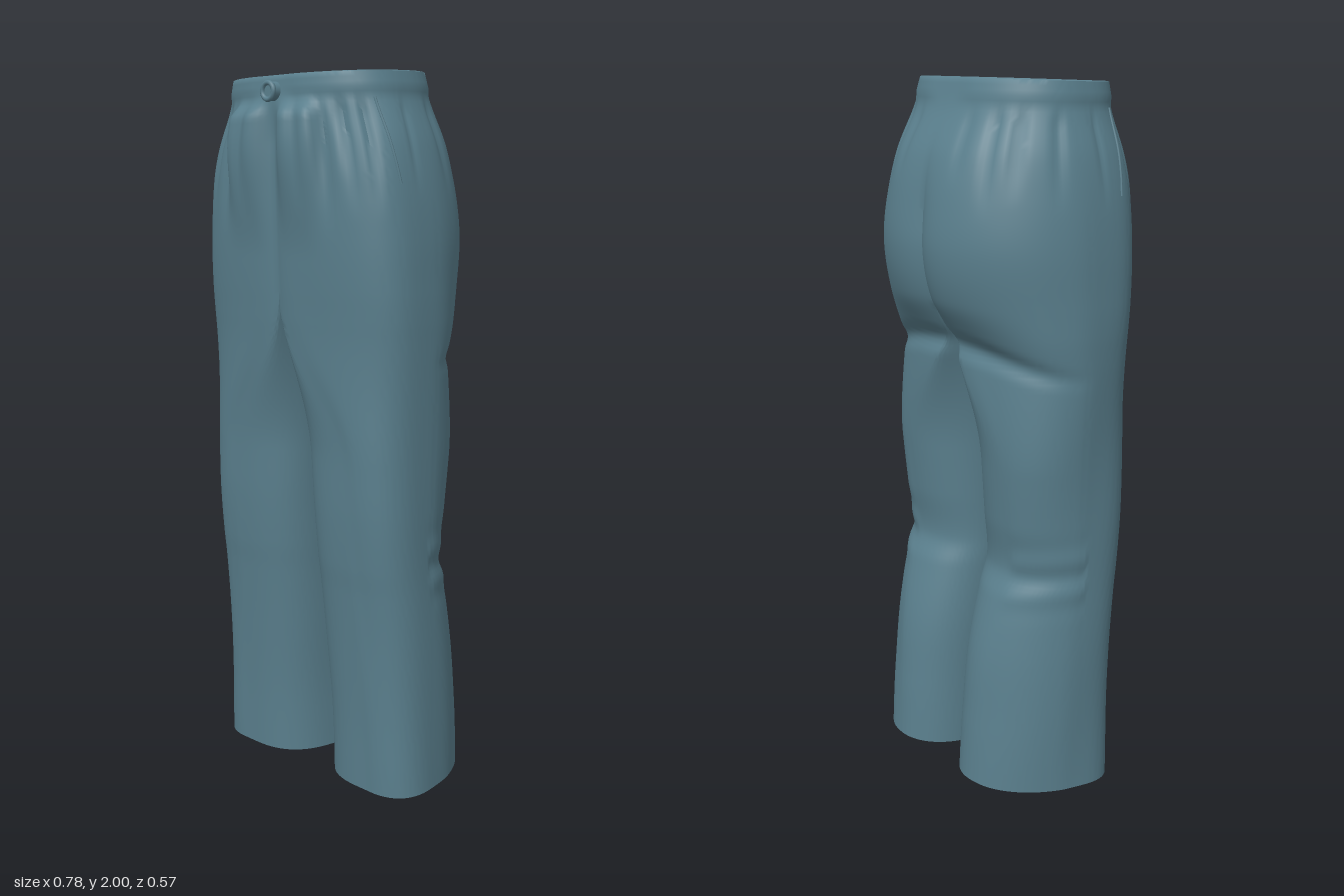
import * as THREE from 'three';
import { toCreasedNormals } from 'three/addons/utils/BufferGeometryUtils.js';

const { smoothstep, lerp } = THREE.MathUtils;
const bell = (v, mid, width) => Math.exp(-(((v - mid) / width) ** 2));
const CROTCH = 1.4;

// Outline of one half: height, outer x, inner x, front z, back z
const KEYS = [
  [0.0, 0.386, 0.03, 0.14, -0.25],
  [0.2, 0.382, 0.03, 0.148, -0.238],
  [0.4, 0.378, 0.025, 0.162, -0.217],
  [0.58, 0.374, 0.022, 0.178, -0.172],
  [0.66, 0.374, 0.02, 0.187, -0.14],
  [0.8, 0.377, 0.018, 0.197, -0.154],
  [1.0, 0.38, 0.013, 0.205, -0.172],
  [1.24, 0.386, 0.003, 0.228, -0.189],
  [1.29, 0.387, 0.001, 0.233, -0.18],
  [1.34, 0.388, 0, 0.238, -0.222],
  [1.42, 0.388, 0, 0.244, -0.272],
  [1.55, 0.384, 0, 0.25, -0.298],
  [1.68, 0.37, 0, 0.254, -0.286],
  [1.8, 0.346, 0, 0.255, -0.252],
  [1.92, 0.308, 0, 0.248, -0.19],
  [2.0, 0.29, 0, 0.24, -0.163],
];

// Pleats below the waistband: angle from the front, depth, lower end
const PLEATS = [
  [0.3, 0.014, 1.6], [0.53, 0.018, 1.55], [0.74, 0.015, 1.6], [0.95, 0.014, 1.6],
  [1.5, 0.006, 1.65], [1.95, 0.008, 1.65], [2.3, 0.01, 1.68], [2.52, 0.01, 1.64], [2.78, 0.006, 1.72],
];

// Smooth cubic interpolation of the outline at height y
function outline(y) {
  const last = KEYS.length - 1;
  let i = 0;
  while (i < last - 1 && y > KEYS[i + 1][0]) i++;
  const a = KEYS[i], b = KEYS[i + 1];
  const p = KEYS[Math.max(i - 1, 0)], q = KEYS[Math.min(i + 2, last)];
  const h = b[0] - a[0], t = (y - a[0]) / h;
  return [1, 2, 3, 4].map((k) => {
    const ma = ((b[k] - p[k]) / (b[0] - p[0])) * h;
    const mb = ((q[k] - a[k]) / (q[0] - a[0])) * h;
    return (2 * t ** 3 - 3 * t * t + 1) * a[k] + (t ** 3 - 2 * t * t + t) * ma
      + (3 * t * t - 2 * t ** 3) * b[k] + (t ** 3 - t * t) * mb;
  });
}

// Cloth point at height y and angle a (0 front, PI/2 outer side, PI back);
// k scales the ring toward its centre, rise lifts it
function clothPoint(y, a, k = 1, rise = 0) {
  const s = Math.sin(a), c = Math.cos(a);
  const [xo, xi, zf] = outline(y);
  // the fold under the seat drops toward the outer side
  const zb = outline(y + 0.09 * bell(y, 1.28, 0.14) * Math.max(s, 0) ** 2)[3];
  const hip = smoothstep(y, 0.95, CROTCH);
  const waist = smoothstep(y, 1.7, 1.95);
  const cx = 0.205 * (1 - hip);
  const cz = lerp(lerp(-0.03, 0.03, smoothstep(y, 0, 1)), 0.05, hip);
  const nFront = lerp(lerp(2.8, 3.1, hip), 2.4, waist);
  const nBack = lerp(lerp(2, 2.15, smoothstep(y, 0.2, 1)), 2.3, waist);
  const n = lerp(nBack, nFront, smoothstep(c, -0.4, 0.4));
  const r = (Math.abs(s) ** n + Math.abs(c) ** n) ** (-1 / n);
  let x = cx + s * r * (s > 0 ? xo - cx : cx - xi);
  let z = cz + c * r * (c > 0 ? zf - cz : cz - zb);

  if (s > 0) {
    const side = smoothstep(s, 0.08, 0.35);
    const underBand = 1 - smoothstep(y, 1.88, 1.945);
    let d = 0;
    // narrow pleats and the fuller cloth beside the fly
    for (const [angle, depth, low] of PLEATS) {
      d -= depth * bell(a, angle, 0.05) * smoothstep(y, low, 1.84) * underBand;
    }
    if (c > 0) {
      const panel = smoothstep(x, 0.01, 0.06) * (1 - smoothstep(x, 0.13, 0.21));
      d += 0.034 * panel * smoothstep(y, 1.5, 1.84) * underBand;
    }
    // waistband edge
    d += 0.006 * side * smoothstep(y, 1.94, 1.955);
    // folds behind the knee and soft drape down the leg
    if (c < 0) d += 0.004 * side * Math.sin(60 * y - 9 * x) * bell(y, 0.65, 0.08);
    d += 0.003 * side * Math.sin(7 * y + 3 * a) * (1 - smoothstep(y, 1.3, 1.6));
    x += d * s;
    z += d * c;
  }
  // lower legs turn outward: the back of the hem sits further in than the front
  x += 0.17 * (z - cz) * (1 - smoothstep(y, 0, 1.3));
  // centre cleft at the back and fly crease in front
  if (c < 0) z += 0.032 * hip ** 3 * (1 - smoothstep(y, 1.6, 1.9)) * Math.exp(-Math.abs(x) / 0.05);
  else z -= 0.014 * hip ** 2 * (1 - smoothstep(y, 1.8, 1.95)) * Math.exp(-Math.abs(x) / 0.035);

  x = cx + (x - cx) * k;
  z = cz + (z - cz) * k;
  // hem rises to the back, waistband dips to the front
  const back = (zf - z) / (zf - zb);
  const tilt = 0.018 * back * (1 - smoothstep(y, 0, 0.3)) - 0.014 * (1 - back) * smoothstep(y, 1.8, 2);
  return new THREE.Vector3(x, y + tilt + rise, z);
}

// Both halves from hem to waist in one surface, closed by recessed ends;
// above the crotch only the outer arcs are kept and meet at the centre
function shellGeometry() {
  const around = 160, up = 150;
  const rows = [[0, 0, 0.04], [0, 0.9, 0.04], [0, 0.92, 0.004], [0, 0.97, 0]];
  for (let j = 0; j <= up; j++) rows.push([(2 * j) / up, 1, 0]);
  rows.push([2, 0.985, 0.002], [2, 0.968, -0.001], [2, 0.96, -0.006], [2, 0, -0.006]);

  const pos = [], index = [];
  for (const side of [1, -1]) {
    const start = pos.length / 3;
    rows.forEach(([y, k, rise], j) => {
      const used = y > CROTCH - 0.001 ? around / 2 : around;
      for (let i = 0; i < around; i++) {
        const p = clothPoint(y, (i / around) * Math.PI * 2, k, rise);
        pos.push(p.x * side, p.y, p.z);
        if (j === rows.length - 1 || i >= used) continue;
        const a = start + j * around + i, b = start + j * around + ((i + 1) % around);
        const c = b + around, d = a + around;
        // the closing fans need one triangle per step
        if (j > 0) index.push(...(side > 0 ? [a, b, d] : [a, d, b]));
        if (j < rows.length - 2) index.push(...(side > 0 ? [b, c, d] : [b, d, c]));
      }
    });
  }
  const g = new THREE.BufferGeometry();
  g.setAttribute('position', new THREE.Float32BufferAttribute(pos, 3));
  g.setIndex(index);
  return toCreasedNormals(g, 0.9);
}

// Raised seam along the slanted pocket opening
function pocketGeometry(side) {
  const pts = [];
  for (let i = 0; i <= 10; i++) {
    const t = i / 10;
    const p = clothPoint(lerp(1.93, 1.7, t), lerp(1.1, 1.22, t));
    pts.push(new THREE.Vector3(p.x * side, p.y, p.z));
  }
  return new THREE.TubeGeometry(new THREE.CatmullRomCurve3(pts), 30, 0.004, 6);
}

export function createModel() {
  const model = new THREE.Group();
  model.name = 'trousers';
  const cloth = new THREE.MeshStandardMaterial({ color: 0x5a7f8d });
  cloth.name = 'blue grey cloth';
  const add = (name, geometry, parent = model) => {
    const mesh = new THREE.Mesh(geometry, cloth);
    mesh.name = name;
    parent.add(mesh);
  };

  add('trouserShell', shellGeometry());
  add('leftPocketSeam', pocketGeometry(1));
  add('rightPocketSeam', pocketGeometry(-1));

  // Waist button: disc with a raised rim
  const button = new THREE.Group();
  button.name = 'button';
  button.position.set(0.006, 1.945, 0.252);
  add('buttonDisc', new THREE.CylinderGeometry(0.024, 0.026, 0.03, 24).rotateX(Math.PI / 2), button);
  add('buttonRim', new THREE.TorusGeometry(0.022, 0.007, 8, 24).translate(0, 0, 0.015), button);
  model.add(button);
  return model;
}
